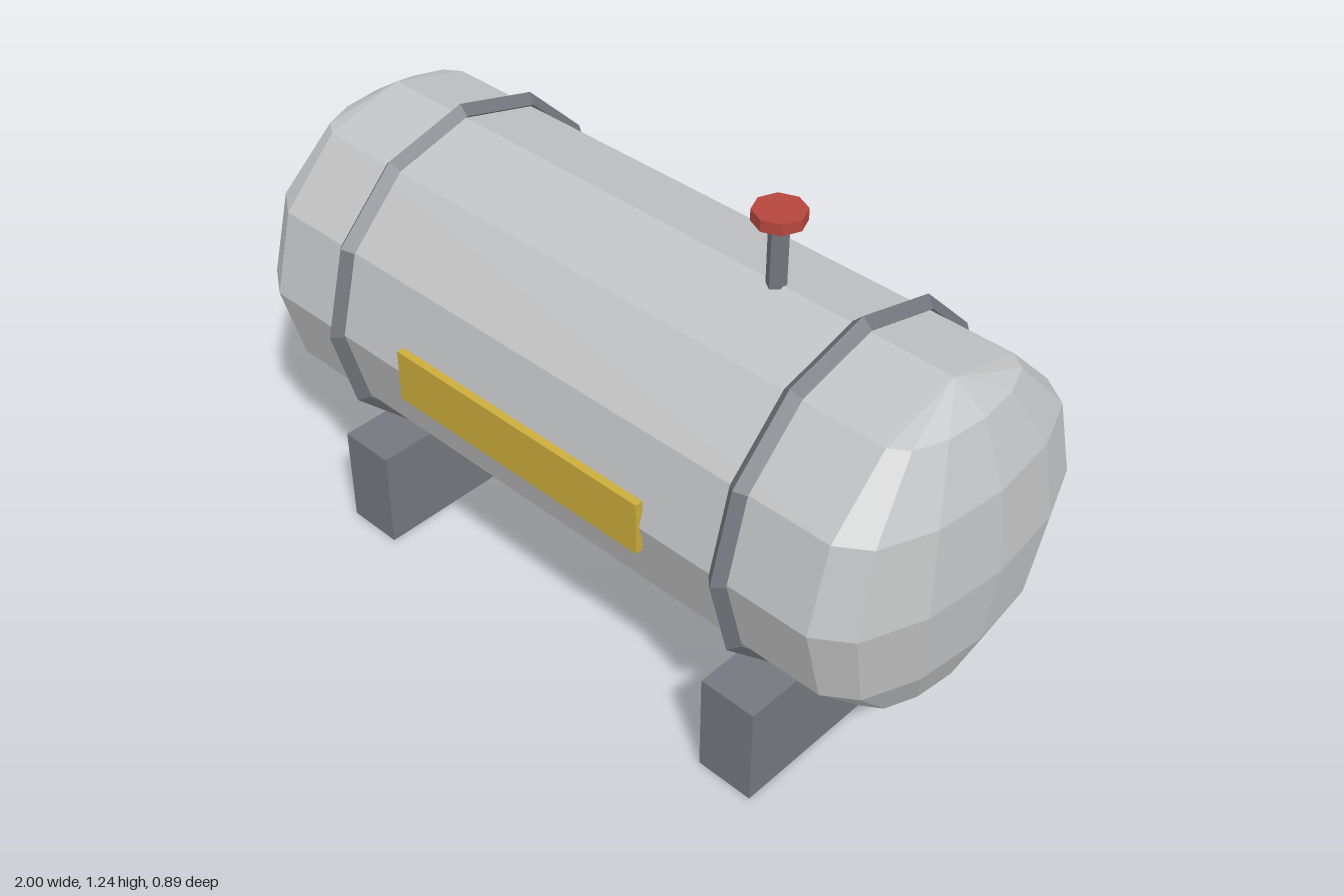
import * as THREE from 'three';

export function createModel() {
  const model = new THREE.Group();
  model.name = 'storageTank';

  const paint = (name, color) => {
    const m = new THREE.MeshStandardMaterial({ color, flatShading: true });
    m.name = name;
    return m;
  };
  const tankGrey = paint('tankGrey', 0xc2c3c4);
  const darkSteel = paint('darkSteel', 0x74777e);
  const labelYellow = paint('labelYellow', 0xcbac3c);
  const valveRed = paint('valveRed', 0xb5473d);

  const add = (name, geometry, material, x, y, z = 0) => {
    const mesh = new THREE.Mesh(geometry, material);
    mesh.name = name;
    mesh.position.set(x, y, z);
    model.add(mesh);
    return mesh;
  };

  const R = 0.415, axisY = 0.645, half = 0.835, capDepth = 0.165;

  // Twelve-sided shell lying along x
  const shell = new THREE.CylinderGeometry(R, R, half * 2, 12, 1, true).rotateZ(Math.PI / 2);
  add('tankBody', shell, tankGrey, 0, axisY);

  // Domed end, flattened along x, with its poles at top and bottom
  const dome = new THREE.SphereGeometry(R, 6, 6, Math.PI / 2, Math.PI).scale(capDepth / R, 1, 1);
  // Diamond-section strap
  const strap = new THREE.TorusGeometry(0.421, 0.024, 4, 12).rotateY(Math.PI / 2);
  const saddle = new THREE.BoxGeometry(0.15, 0.267, 0.754);

  for (const [side, s] of [['left', 1], ['right', -1]]) {
    const cap = add(side + 'EndCap', dome, tankGrey, s * half, axisY);
    if (s < 0) cap.rotation.y = Math.PI;
    add(side + 'Strap', strap, darkSteel, s * 0.605, axisY);
    add(side + 'Saddle', saddle, darkSteel, s * 0.605, 0.1335);
  }

  // Marker plate on the front
  add('frontPlate', new THREE.BoxGeometry(0.757, 0.136, 0.02), labelYellow, 0, axisY, 0.414);

  // Valve stem and handwheel on top
  add('valveStem', new THREE.CylinderGeometry(0.023, 0.023, 0.2, 6), darkSteel, 0.376, 1.118);
  add('valveWheel', new THREE.CylinderGeometry(0.06, 0.06, 0.028, 8), valveRed, 0.376, 1.229);

  return model;
}
